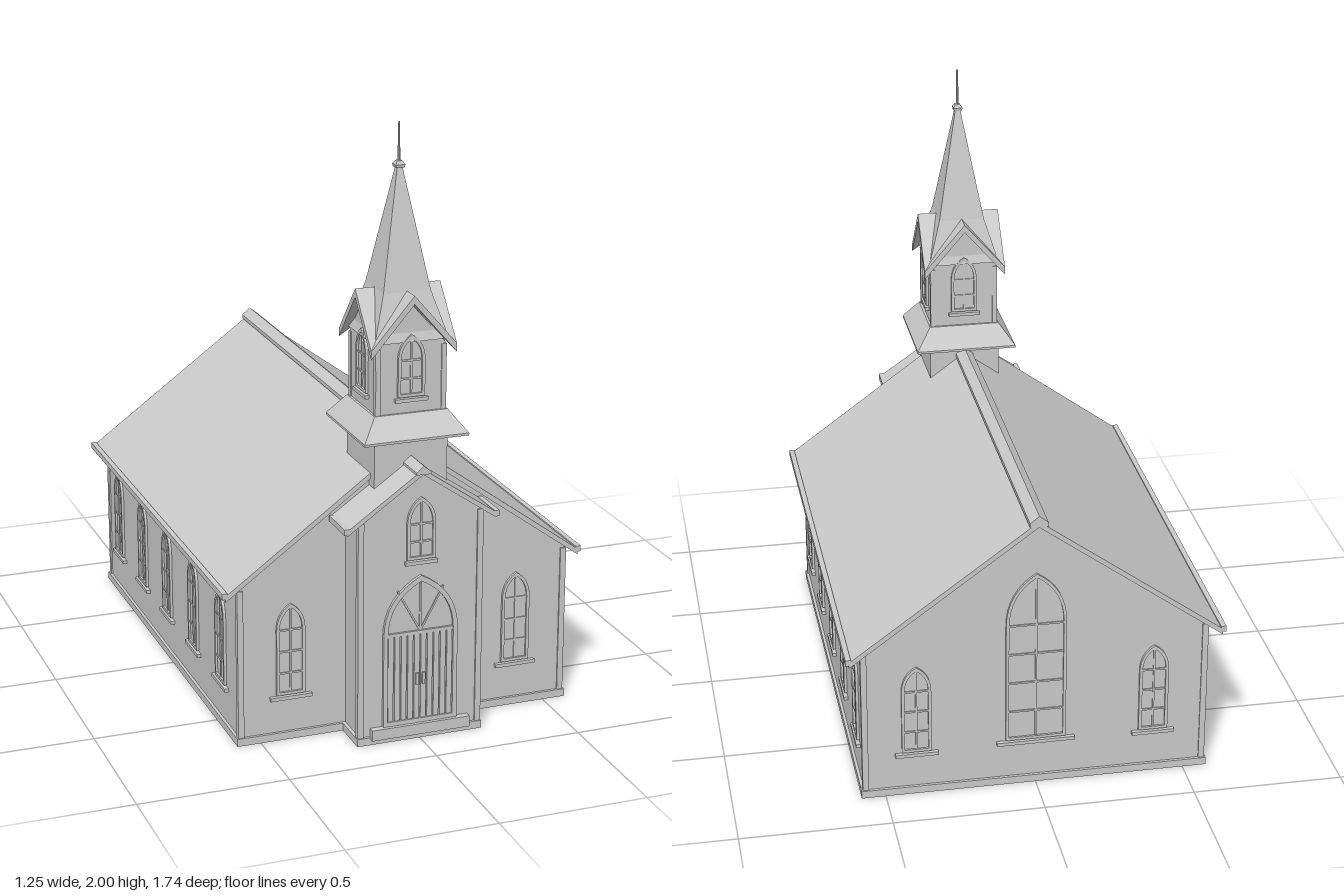
import * as THREE from 'three';
import { ConvexGeometry } from 'three/addons/geometries/ConvexGeometry.js';

const grey = new THREE.MeshStandardMaterial({ color: 0xcccccc, flatShading: true, side: THREE.DoubleSide });

function add(parent, name, geometry, x = 0, y = 0, z = 0) {
  const mesh = new THREE.Mesh(geometry, grey);
  mesh.name = name;
  mesh.position.set(x, y, z);
  parent.add(mesh);
  return mesh;
}

// Box given by its limits
function block(parent, name, x0, x1, y0, y1, z0, z1) {
  return add(parent, name, new THREE.BoxGeometry(x1 - x0, y1 - y0, z1 - z0), (x0 + x1) / 2, (y0 + y1) / 2, (z0 + z1) / 2);
}

// Outline in x,y drawn out from z0 to z1
function prism(points, z0, z1) {
  const shape = new THREE.Shape(points.map(([x, y]) => new THREE.Vector2(x, y)));
  return new THREE.ExtrudeGeometry(shape, { depth: z1 - z0, bevelEnabled: false }).translate(0, 0, z0);
}

const gable = (w, y0, eave, top) => [[-w, y0], [w, y0], [w, eave], [0, top], [-w, eave]];

// Pointed arch: half width w, from y0 up to spring height s and tip h
function trace(path, w, y0, s, h) {
  const c = s + (h - s) * 0.68;
  path.moveTo(-w, y0);
  path.lineTo(w, y0);
  path.lineTo(w, s);
  path.quadraticCurveTo(w, c, 0, h);
  path.quadraticCurveTo(-w, c, -w, s);
  path.lineTo(-w, y0);
  return path;
}

function archPanel(parent, name, w, s, h, depth) {
  add(parent, name, new THREE.ExtrudeGeometry(trace(new THREE.Shape(), w, 0, s, h), { depth, bevelEnabled: false, curveSegments: 8 }));
}

function archFrame(parent, name, w, s, h, t, depth) {
  const shape = trace(new THREE.Shape(), w, 0, s, h);
  shape.holes.push(trace(new THREE.Path(), w - t, t, s, h - t * 1.3));
  add(parent, name, new THREE.ExtrudeGeometry(shape, { depth, bevelEnabled: false, curveSegments: 8 }));
}

// Window standing on its sill, facing +z before turning
function addWindow(parent, name, w, h, rows, x, y, z, turn = 0, sill = w + 0.022) {
  const g = new THREE.Group();
  g.name = name;
  const s = h - w * 1.85;
  archPanel(g, 'glass', w, s, h, 0.002);
  archFrame(g, 'frame', w, s, h, 0.01, 0.009);
  block(g, 'uprightBar', -0.003, 0.003, 0, h - 0.01, 0, 0.006);
  for (let i = 1; i <= rows; i++) {
    const yy = s * i / rows;
    block(g, 'crossBar', -w, w, yy - 0.003, yy + 0.003, 0, 0.006);
  }
  block(g, 'sill', -sill, sill, -0.016, -0.004, -0.005, 0.014);
  g.position.set(x, y, z);
  g.rotation.y = turn;
  parent.add(g);
}

// Pair of sloping roof slabs: ridge y top, eave x = w at y eave
function addRoof(parent, name, w, eave, top, t, z0, z1) {
  for (const s of [-1, 1]) {
    add(parent, name, prism([[0, top], [s * w, eave], [s * w, eave - t], [0, top - t]], z0, z1));
  }
}

function buildHall() {
  const g = new THREE.Group();
  g.name = 'hall';
  add(g, 'walls', prism(gable(0.57, 0.012, 0.54, 0.955), -0.83, 0.71));
  addRoof(g, 'mainRoof', 0.615, 0.527, 0.975, 0.02, -0.865, 0.72);
  add(g, 'ridgeCap', prism([[-0.03, 0.958], [0.03, 0.958], [0.03, 0.972], [0, 0.996], [-0.03, 0.972]], -0.868, 0.51));
  for (const s of [-1, 1]) {
    block(g, 'gutter', s * 0.617 - 0.009, s * 0.617 + 0.009, 0.517, 0.537, -0.865, 0.72);
    block(g, 'sideBaseBoard', s * 0.57 - 0.01, s * 0.57 + 0.01, 0, 0.026, -0.84, 0.72);
    for (const z of [-0.825, 0.705]) {
      block(g, 'cornerBoard', s * 0.565 - 0.01, s * 0.565 + 0.01, 0.026, 0.535, z - 0.01, z + 0.01);
    }
    for (const z of [0.53, 0.23, -0.075, -0.376, -0.683]) {
      addWindow(g, 'sideWindow', 0.049, 0.315, 3, s * 0.57, 0.157, z, s * Math.PI / 2);
    }
    addWindow(g, 'frontWindow', 0.049, 0.315, 3, s * 0.395, 0.157, 0.71);
    addWindow(g, 'backWindow', 0.049, 0.315, 3, s * 0.395, 0.157, -0.83, Math.PI);
  }
  block(g, 'backBaseBoard', -0.58, 0.58, 0, 0.026, -0.84, -0.82);
  for (const s of [-1, 1]) block(g, 'frontBaseBoard', s * 0.39 - 0.19, s * 0.39 + 0.19, 0, 0.026, 0.7, 0.72);
  addWindow(g, 'greatBackWindow', 0.1, 0.61, 4, 0, 0.165, -0.83, Math.PI, 0.13);
  return g;
}

function buildPorch() {
  const g = new THREE.Group();
  g.name = 'porch';
  add(g, 'porchWalls', prism(gable(0.205, 0.012, 0.77, 0.91), 0.7, 0.845));
  addRoof(g, 'porchRoof', 0.255, 0.752, 0.928, 0.018, 0.71, 0.862);
  add(g, 'porchRidgeCap', prism([[-0.025, 0.912], [0.025, 0.912], [0.025, 0.92], [0, 0.941], [-0.025, 0.92]], 0.72, 0.867));
  for (const s of [-1, 1]) {
    block(g, 'porchGutter', s * 0.257 - 0.008, s * 0.257 + 0.008, 0.738, 0.758, 0.72, 0.862);
    block(g, 'porchCornerBoard', s * 0.205 - 0.01, s * 0.205 + 0.01, 0.026, 0.765, 0.83, 0.851);
    block(g, 'porchSideBase', s * 0.205 - 0.012, s * 0.205 + 0.012, 0, 0.026, 0.71, 0.855);
  }
  block(g, 'porchFrontBase', -0.217, 0.217, 0, 0.026, 0.835, 0.855);
  block(g, 'doorStep', -0.17, 0.17, 0.018, 0.055, 0.84, 0.868);
  addWindow(g, 'porchWindow', 0.049, 0.21, 2, 0, 0.622, 0.845, 0, 0.055);

  // Arched double door with planks and a fan light
  const door = new THREE.Group();
  door.name = 'door';
  door.position.set(0, 0.055, 0.845);
  archPanel(door, 'doorBacking', 0.125, 0.315, 0.51, 0.002);
  archFrame(door, 'doorFrame', 0.128, 0.315, 0.512, 0.015, 0.011);
  for (let i = 0; i < 10; i++) {
    const x = (i - 4.5) * 0.0226;
    block(door, 'plank', x - 0.009, x + 0.009, 0.003, 0.312, 0, 0.007);
  }
  block(door, 'transom', -0.125, 0.125, 0.31, 0.322, 0, 0.01);
  for (const a of [-0.5, 0, 0.5]) {
    const bar = add(door, 'fanBar', new THREE.BoxGeometry(0.006, 0.165, 0.006).translate(0, 0.0825, 0), 0, 0.32, 0.003);
    bar.rotation.z = a;
  }
  for (const s of [-1, 1]) block(door, 'doorHandle', s * 0.011 - 0.005, s * 0.011 + 0.005, 0.135, 0.175, 0, 0.013);
  g.add(door);
  return g;
}

// Built around its own axis, then moved to the front of the hall
function buildTower() {
  const g = new THREE.Group();
  g.name = 'tower';
  g.position.z = 0.63;
  block(g, 'towerBase', -0.125, 0.125, 0.84, 1.01, -0.125, 0.125);
  const squareProfile = (pts) => new THREE.LatheGeometry(
    pts.map(([w, y]) => new THREE.Vector2(w * Math.SQRT2, y)), 4, Math.PI / 4);
  add(g, 'flaredSkirt', squareProfile([[0, 1.004], [0.178, 1.004], [0.178, 1.012], [0.125, 1.083], [0, 1.083]]));

  // Belfry with a gable, window and two roof leaves on each face
  const h = 0.145, ridge = 1.473, eave = 1.305, t = 0.028;
  for (let i = 0; i < 4; i++) {
    const face = new THREE.Group();
    face.name = 'belfryFace';
    face.rotation.y = i * Math.PI / 2;
    add(face, 'belfryWall', prism(gable(0.117, 1.08, 1.305, 1.44), 0, 0.117));
    addWindow(face, 'belfryWindow', 0.046, 0.205, 2, 0, 1.137, 0.117, 0, 0.056);
    for (const s of [-1, 1]) {
      block(face, 'belfryCornerBoard', s * 0.112 - 0.008, s * 0.112 + 0.008, 1.083, 1.3, 0.105, 0.121);
      const corners = [[0, ridge, 0], [0, ridge, h], [s * h, eave, h]];
      add(face, 'gableRoofLeaf', new ConvexGeometry(corners.flatMap(([x, y, z]) => [
        new THREE.Vector3(x, y, z), new THREE.Vector3(x, y - t, z)])));
    }
    g.add(face);
  }

  add(g, 'spire', squareProfile([[0, 1.31], [0.126, 1.318], [0.08, 1.47], [0.009, 1.855], [0, 1.855]]));
  add(g, 'finialCollar', squareProfile([[0, 1.85], [0.014, 1.854], [0.016, 1.864], [0.009, 1.875], [0, 1.878]]));
  add(g, 'finialRod', new THREE.CylinderGeometry(0.003, 0.005, 0.13, 8), 0, 1.935, 0);
  return g;
}

export function createModel() {
  const model = new THREE.Group();
  model.name = 'chapel';
  model.add(buildHall(), buildPorch(), buildTower());
  return model;
}
